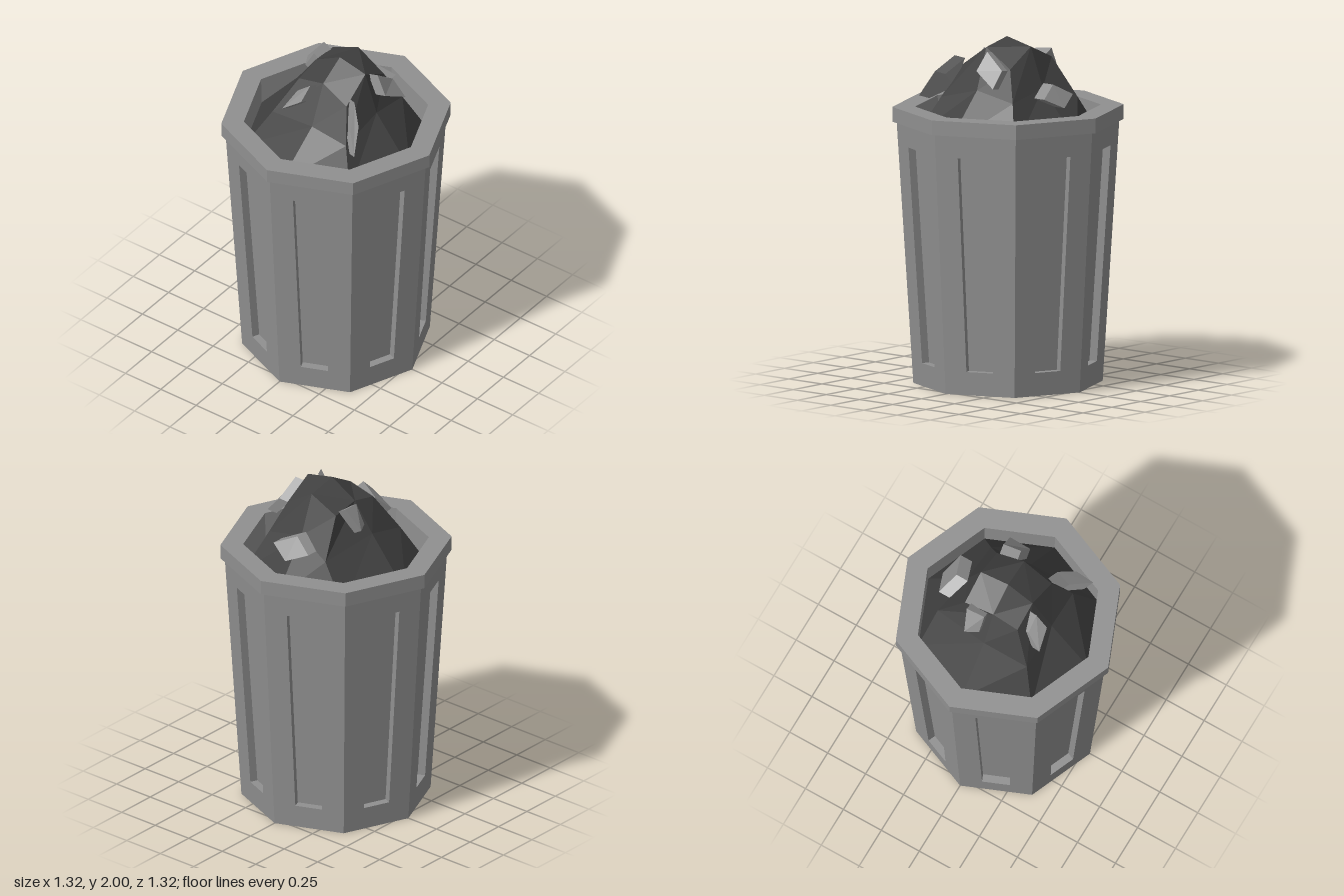
import * as THREE from 'three';

const SIDES = 8;
const H = 1.51;
const V = (x, y, z) => new THREE.Vector3(x, y, z);
const grey = new THREE.MeshStandardMaterial({ color: 0x909090, flatShading: true });
const dark = new THREE.MeshStandardMaterial({ color: 0x414141, flatShading: true });

// Collects quads (corners lower-left, lower-right, upper-right, upper-left) into a geometry
function quadGeometry(quads) {
  const pts = quads.flatMap(([a, b, c, d]) => [a, b, c, a, c, d]);
  const g = new THREE.BufferGeometry().setFromPoints(pts);
  g.computeVertexNormals();
  return g;
}

function add(group, name, geometry, material) {
  const mesh = new THREE.Mesh(geometry, material);
  mesh.name = name;
  group.add(mesh);
}

function lathe(profile) {
  return new THREE.LatheGeometry(profile.map(([r, y]) => new THREE.Vector2(r, y)), SIDES);
}

// Tapered wall of one side with a recessed panel
function sidePanel(i) {
  const a0 = (i / SIDES) * Math.PI * 2;
  const a1 = ((i + 1) / SIDES) * Math.PI * 2;
  const am = (a0 + a1) / 2;
  const at = (t, y, depth = 0) => {
    const r = 0.54 + (0.095 * y) / H;
    const p = V(Math.sin(a0) * r, y, Math.cos(a0) * r);
    p.lerp(V(Math.sin(a1) * r, y, Math.cos(a1) * r), t);
    return p.sub(V(Math.sin(am) * depth, 0, Math.cos(am) * depth));
  };
  const hole = [[0.31, 0.135], [0.69, 0.135], [0.725, 1.38], [0.275, 1.38]];
  const outer = [at(0, 0), at(1, 0), at(1, H), at(0, H)];
  const edge = hole.map(([t, y]) => at(t, y));
  const inner = hole.map(([t, y]) => at(t, y, 0.045));
  const quads = [inner];
  for (let k = 0; k < 4; k++) {
    const n = (k + 1) % 4;
    quads.push([outer[k], outer[n], edge[n], edge[k]]);
    quads.push([edge[k], edge[n], inner[n], inner[k]]);
  }
  return quads;
}

// Faceted mound: three rings of eight points closed by a peak
function heapGeometry() {
  const base = Array.from({ length: SIDES }, (_, i) => {
    const a = (i / SIDES) * Math.PI * 2;
    return V(Math.sin(a) * 0.526, 1.43, Math.cos(a) * 0.526);
  });
  const middle = [
    [0.03, 1.68, 0.27], [0.27, 1.65, 0.27], [0.28, 1.72, -0.01], [0.27, 1.67, -0.27],
    [0.02, 1.73, -0.28], [-0.21, 1.66, -0.34], [-0.27, 1.73, 0], [-0.25, 1.66, 0.27],
  ].map((p) => V(...p));
  const top = [
    [0.02, 1.91, 0.15], [0.2, 1.84, 0.17], [0.2, 1.96, -0.01], [0.2, 1.85, -0.19],
    [0.02, 1.96, -0.19], [-0.16, 1.88, -0.19], [-0.15, 1.905, -0.01], [-0.15, 1.87, 0.15],
  ].map((p) => V(...p));
  const peak = V(0.02, 2.0, -0.01);
  const quads = [];
  for (let i = 0; i < SIDES; i++) {
    const n = (i + 1) % SIDES;
    quads.push([base[i], base[n], middle[n], middle[i]]);
    quads.push([middle[i], middle[n], top[n], top[i]]);
  }
  for (let i = 1; i < SIDES; i += 2) {
    quads.push([top[i - 1], top[i], top[(i + 1) % SIDES], peak]);
  }
  return quadGeometry(quads);
}

// Skewed block: an outer face pushed inwards into the mound
function chunk(inward, ...corners) {
  const outer = corners.map((c) => V(...c));
  const inner = outer.map((p) => p.clone().add(V(...inward)));
  const quads = [outer, [...inner].reverse()];
  for (let k = 0; k < 4; k++) {
    const n = (k + 1) % 4;
    quads.push([outer[n], outer[k], inner[k], inner[n]]);
  }
  return quadGeometry(quads);
}

export function createModel() {
  const model = new THREE.Group();
  model.name = 'trashCan';

  const walls = [];
  for (let i = 0; i < SIDES; i++) walls.push(...sidePanel(i));
  add(model, 'panelledBody', quadGeometry(walls), grey);
  add(model, 'bottom', lathe([[0, 0], [0.54, 0]]), grey);
  add(model, 'rim', lathe([[0.62, H], [0.66, H], [0.66, 1.595], [0.53, 1.595], [0.525, 1.41]]), grey);

  add(model, 'rubbishHeap', heapGeometry(), dark);

  // Loose pieces stuck in the heap: back, right, left, front, front left
  const chunks = new THREE.Group();
  chunks.name = 'rubbishChunks';
  model.add(chunks);
  [
    [[0, 0, 0.075], [0.01, 1.63, -0.435], [-0.12, 1.69, -0.385], [0, 1.755, -0.34], [0.135, 1.69, -0.39]],
    [[0.05, -0.03, 0], [-0.29, 1.8, -0.12], [-0.25, 1.8, -0.045], [-0.19, 1.91, -0.045], [-0.2, 1.92, -0.155]],
    [[-0.06, -0.01, 0.01], [0.32, 1.84, -0.04], [0.35, 1.755, -0.19], [0.265, 1.85, -0.185], [0.25, 1.945, -0.06]],
    [[0.01, -0.02, -0.05], [-0.16, 1.74, 0.3], [-0.04, 1.83, 0.28], [-0.03, 1.905, 0.205], [-0.12, 1.83, 0.205]],
    [[-0.055, -0.02, -0.03], [0.38, 1.665, 0.34], [0.345, 1.81, 0.25], [0.26, 1.9, 0.175], [0.28, 1.73, 0.24]],
  ].forEach((args, i) => add(chunks, `chunk${i + 1}`, chunk(...args), grey));

  return model;
}
